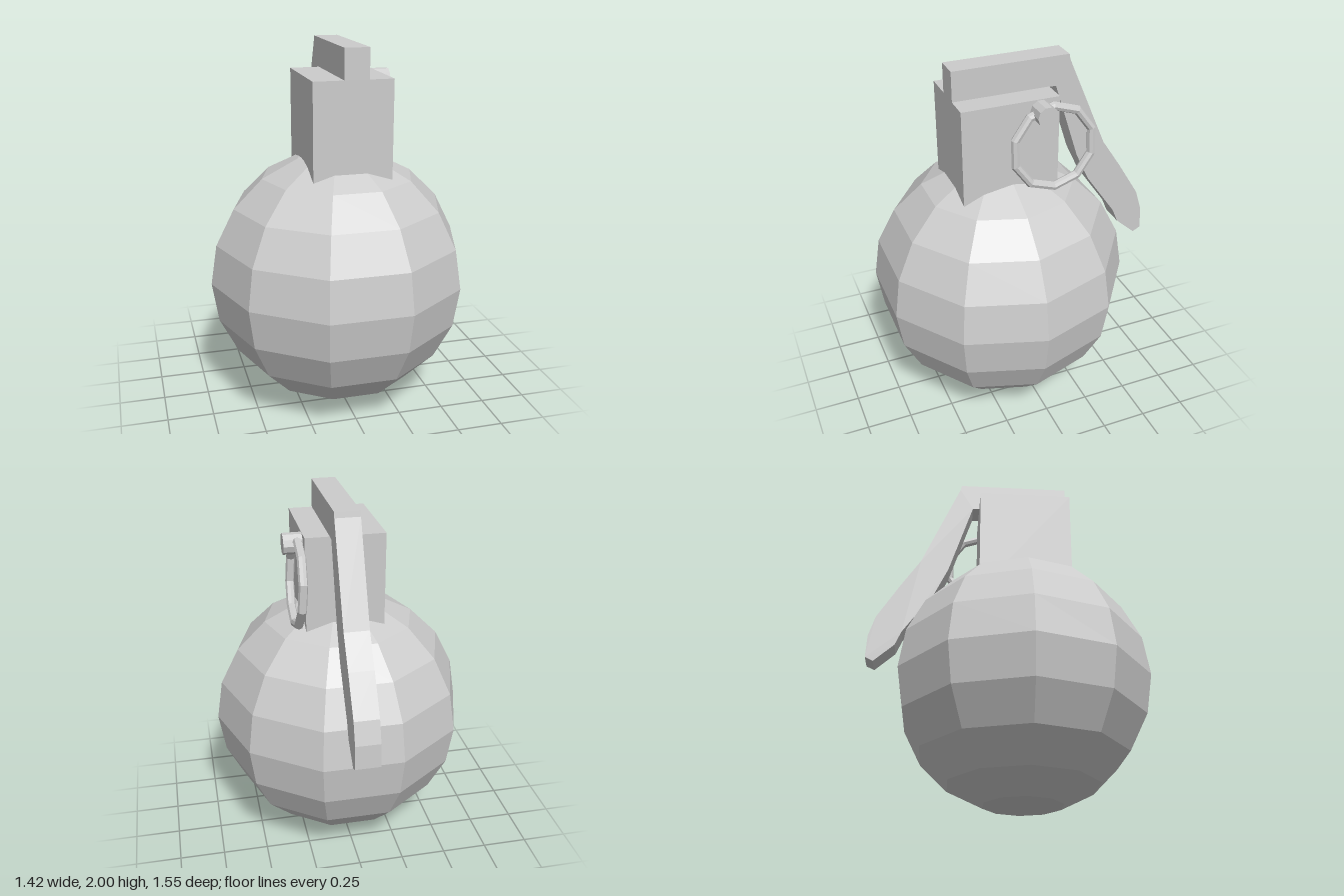
import * as THREE from 'three';

const material = new THREE.MeshStandardMaterial({ color: 0xcccccc, flatShading: true });

function createPart(name, geometry, x, y, z) {
  const mesh = new THREE.Mesh(geometry, material);
  mesh.name = name;
  mesh.position.set(x, y, z);
  return mesh;
}

export function createModel() {
  const model = new THREE.Group();

  // Faceted round body
  model.add(createPart('body', new THREE.SphereGeometry(0.711, 10, 10), 0, 0.714, 0.097));

  // Block sunk into the top of the body
  model.add(createPart('neckBlock', new THREE.BoxGeometry(0.425, 0.64, 0.525), 0.0125, 1.52, 0.1075));

  // Lever: top strip and bent arm as one side profile (z, y)
  const profile = [
    [0.37, 1.838], [0.37, 2], [-0.264, 2], [-0.27, 1.97], [-0.49, 1.46], [-0.6, 1.295],
    [-0.727, 1.09], [-0.765, 0.97], [-0.772, 0.84], [-0.727, 0.818], [-0.614, 0.92],
    [-0.58, 1.0], [-0.405, 1.25], [-0.33, 1.41], [-0.193, 1.838],
  ].map(([z, y]) => new THREE.Vector2(z, y));
  const lever = new THREE.ExtrudeGeometry(new THREE.Shape(profile), { depth: 0.133, bevelEnabled: false });
  lever.rotateY(-Math.PI / 2);
  model.add(createPart('lever', lever, 0.095, 0, 0));

  // Pin head on the left side of the block
  const pin = new THREE.CylinderGeometry(0.056, 0.056, 0.105, 10).rotateZ(Math.PI / 2);
  model.add(createPart('pin', pin, 0.2725, 1.782, -0.05));

  // Ten-sided pull ring, leaning slightly outward at the bottom
  const ring = new THREE.TorusGeometry(0.222, 0.024, 8, 10);
  ring.rotateZ(Math.PI / 2).rotateY(Math.PI / 2).rotateZ(0.06);
  model.add(createPart('pullRing', ring, 0.266, 1.585, -0.109));

  return model;
}
